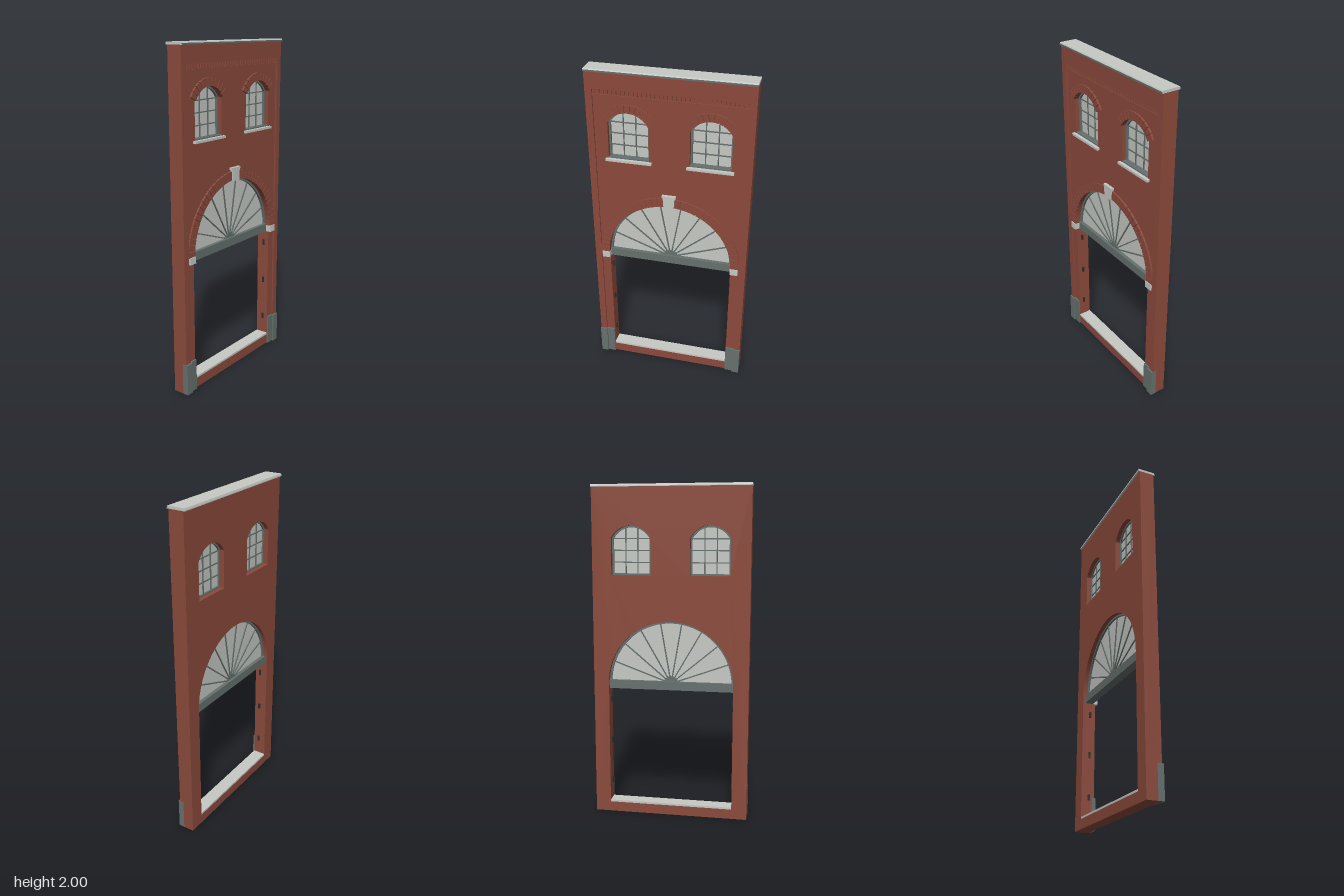
import * as THREE from 'three';

const mat = (name, color) => Object.assign(new THREE.MeshStandardMaterial({ color }), { name });

export function createModel() {
  const brick = mat('brick', 0x8c4a3c);
  const slate = mat('slate paint', 0x66716e);
  const stone = mat('pale stone', 0xc6c9c4);
  const iron = mat('iron', 0x2c2f2f);
  const model = new THREE.Group();

  const add = (name, geometry, material, parent = model) => {
    const mesh = new THREE.Mesh(geometry, material);
    mesh.name = name;
    parent.add(mesh);
    return mesh;
  };
  // box given by its limits
  const box = (name, x0, x1, y0, y1, z0, z1, material, parent) => {
    const m = add(name, new THREE.BoxGeometry(x1 - x0, y1 - y0, z1 - z0), material, parent);
    m.position.set((x0 + x1) / 2, (y0 + y1) / 2, (z0 + z1) / 2);
    return m;
  };
  const slab = (name, shape, z0, z1, material, parent) => {
    const g = new THREE.ExtrudeGeometry(shape, { depth: z1 - z0, bevelEnabled: false, curveSegments: 32 });
    return add(name, g.translate(0, 0, z0), material, parent);
  };
  // opening with straight sides and an arched head; inset shrinks it evenly
  const arched = (Type, x, y0, cy, r, half, inset = 0) => {
    const w = half - inset, rad = r - inset, a = Math.acos(Math.min(1, w / rad));
    const s = new Type();
    s.moveTo(x - w, y0 + inset);
    s.lineTo(x + w, y0 + inset);
    s.lineTo(x + w, cy + rad * Math.sin(a));
    s.absarc(x, cy, rad, a, Math.PI - a, false);
    s.closePath();
    return s;
  };
  // row of wedge bricks along an arc, with narrow joints
  const archBricks = (name, x, cy, r0, r1, from, to, count, parent) => {
    const step = (to - from) / count, gap = 0.0012 / r0;
    for (let i = 0; i < count; i++) {
      const a = from + i * step + gap, b = from + (i + 1) * step - gap;
      const s = new THREE.Shape();
      s.absarc(x, cy, r0, a, b, false);
      s.absarc(x, cy, r1, b, a, true);
      s.closePath();
      const g = new THREE.ExtrudeGeometry(s, { depth: 0.014, bevelEnabled: false, curveSegments: 2 });
      add(name, g.translate(0, 0, 0.033), brick, parent);
    }
  };

  const BACK = -0.045, PANEL = 0.036, FRONT = 0.046;
  const fan = { cy: 0.825, r: 0.378 };
  const win = { y0: 1.475, cy: 1.63, r: 0.133, half: 0.118 };

  // wall with the doorway and two windows cut through
  const wall = new THREE.Shape([[-0.47, 0], [0.47, 0], [0.47, 1.985], [-0.47, 1.985]]
    .map(p => new THREE.Vector2(...p)));
  wall.holes.push(arched(THREE.Path, 0, 0.06, fan.cy, fan.r, fan.r));
  for (const s of [-1, 1]) wall.holes.push(arched(THREE.Path, s * 0.235, win.y0, win.cy, win.r, win.half));
  slab('wall', wall, BACK, PANEL, brick);

  // raised edge piers, top band and dentil course
  for (const s of [-1, 1]) {
    const x = s * 0.45;
    box('edgePier', x - 0.02, x + 0.02, 0, 1.985, PANEL, FRONT, brick);
  }
  box('topBand', -0.43, 0.43, 1.888, 1.985, PANEL, FRONT, brick);
  box('dentilLedge', -0.43, 0.43, 1.845, 1.858, PANEL, 0.042, brick);
  const dentils = 36, pitch = 0.86 / dentils;
  for (let i = 0; i < dentils; i++) {
    const x = -0.43 + (i + 0.5) * pitch;
    box('dentil', x - 0.007, x + 0.007, 1.862, 1.888, PANEL, FRONT, brick);
  }

  // coping with slightly sloping edges
  const cap = new THREE.Shape([[-0.056, 1.985], [0.056, 1.985], [0.056, 1.99], [0.051, 2], [-0.053, 2], [-0.056, 1.99]]
    .map(p => new THREE.Vector2(...p)));
  const coping = slab('coping', cap, -0.47, 0.47, stone);
  coping.rotation.y = -Math.PI / 2;
  coping.scale.x = 1;
  box('copingEdge', -0.47, 0.47, 1.985, 1.994, 0.05, 0.0565, slate);

  // plinth blocks, imposts and hinges on both sides
  for (const s of [-1, 1]) {
    const side = new THREE.Group();
    side.name = s > 0 ? 'leftJamb' : 'rightJamb';
    const span = (name, a, b, ...rest) => box(name, Math.min(s * a, s * b), Math.max(s * a, s * b), ...rest, side);
    span('outerPlinth', 0.426, 0.471, 0, 0.19, 0.02, 0.056, slate);
    span('innerPlinth', 0.378, 0.426, 0, 0.19, 0.02, 0.046, slate);
    span('impost', 0.376, 0.424, 0.787, 0.828, 0.02, 0.052, stone);
    for (const y of [0.19, 0.45, 0.71]) span('hinge', 0.37, 0.38, y - 0.018, y + 0.018, -0.004, 0.008, iron);
    model.add(side);
  }
  box('doorSill', -0.378, 0.378, 0.06, 0.072, BACK, PANEL, stone);

  // fanlight: glass, rim, hub, rays and transom
  const fanlight = new THREE.Group();
  fanlight.name = 'fanlight';
  const half = (Type, r) => {
    const s = new Type();
    s.absarc(0, fan.cy, r, 0, Math.PI, false);
    s.closePath();
    return s;
  };
  slab('fanGlass', half(THREE.Shape, 0.374), -0.008, -0.002, stone, fanlight);
  const rim = half(THREE.Shape, fan.r);
  rim.holes.push(half(THREE.Path, 0.366));
  slab('fanRim', rim, -0.02, 0.012, slate, fanlight);
  slab('fanHub', half(THREE.Shape, 0.045), -0.014, 0.006, slate, fanlight);
  for (let i = 1; i < 9; i++) {
    const a = i * Math.PI / 9;
    const ray = add('fanRay', new THREE.BoxGeometry(0.33, 0.007, 0.018), slate, fanlight);
    ray.position.set(0.205 * Math.cos(a), fan.cy + 0.205 * Math.sin(a), -0.005);
    ray.rotation.z = a;
  }
  box('transom', -0.378, 0.378, 0.787, 0.838, -0.03, 0.02, slate, fanlight);
  model.add(fanlight);

  // brick arch and keystone over the fanlight
  const arch = new THREE.Group();
  arch.name = 'doorArch';
  const key = 0.08;
  archBricks('archBrick', 0, fan.cy, fan.r, 0.432, 0, Math.PI / 2 - key, 17, arch);
  archBricks('archBrick', 0, fan.cy, fan.r, 0.432, Math.PI / 2 + key, Math.PI, 17, arch);
  const keystone = new THREE.Shape([[-0.03, 1.198], [0.03, 1.198], [0.035, 1.265], [0.041, 1.265], [0.041, 1.278],
    [-0.041, 1.278], [-0.041, 1.265], [-0.035, 1.265]].map(p => new THREE.Vector2(...p)));
  slab('keystone', keystone, 0.02, 0.054, stone, arch);
  model.add(arch);

  // windows with glazing bars, sill and brick head
  for (const s of [-1, 1]) {
    const x = s * 0.235;
    const g = new THREE.Group();
    g.name = s > 0 ? 'leftWindow' : 'rightWindow';
    const at = (Type, inset) => arched(Type, x, win.y0, win.cy, win.r, win.half, inset);
    slab('windowGlass', at(THREE.Shape, 0.004), -0.008, -0.002, stone, g);
    const frame = at(THREE.Shape, 0);
    frame.holes.push(at(THREE.Path, 0.01));
    slab('windowFrame', frame, -0.018, 0.012, slate, g);
    for (const k of [-1, 1]) {
      const bx = x + k * 0.036;
      box('verticalBar', bx - 0.003, bx + 0.003, win.y0, 1.753, -0.014, 0.004, slate, g);
    }
    for (const y of [1.55, 1.62, 1.688])
      box('horizontalBar', x - win.half, x + win.half, y - 0.003, y + 0.003, -0.014, 0.004, slate, g);
    box('windowSill', x - 0.134, x + 0.134, 1.463, 1.477, 0.03, 0.054, stone, g);
    box('innerSill', x - win.half, x + win.half, 1.47, 1.484, 0, 0.034, slate, g);
    const open = Math.acos(win.half / win.r);
    archBricks('headBrick', x, win.cy, win.r, 0.18, open, Math.PI - open, 11, g);
    model.add(g);
  }
  return model;
}
